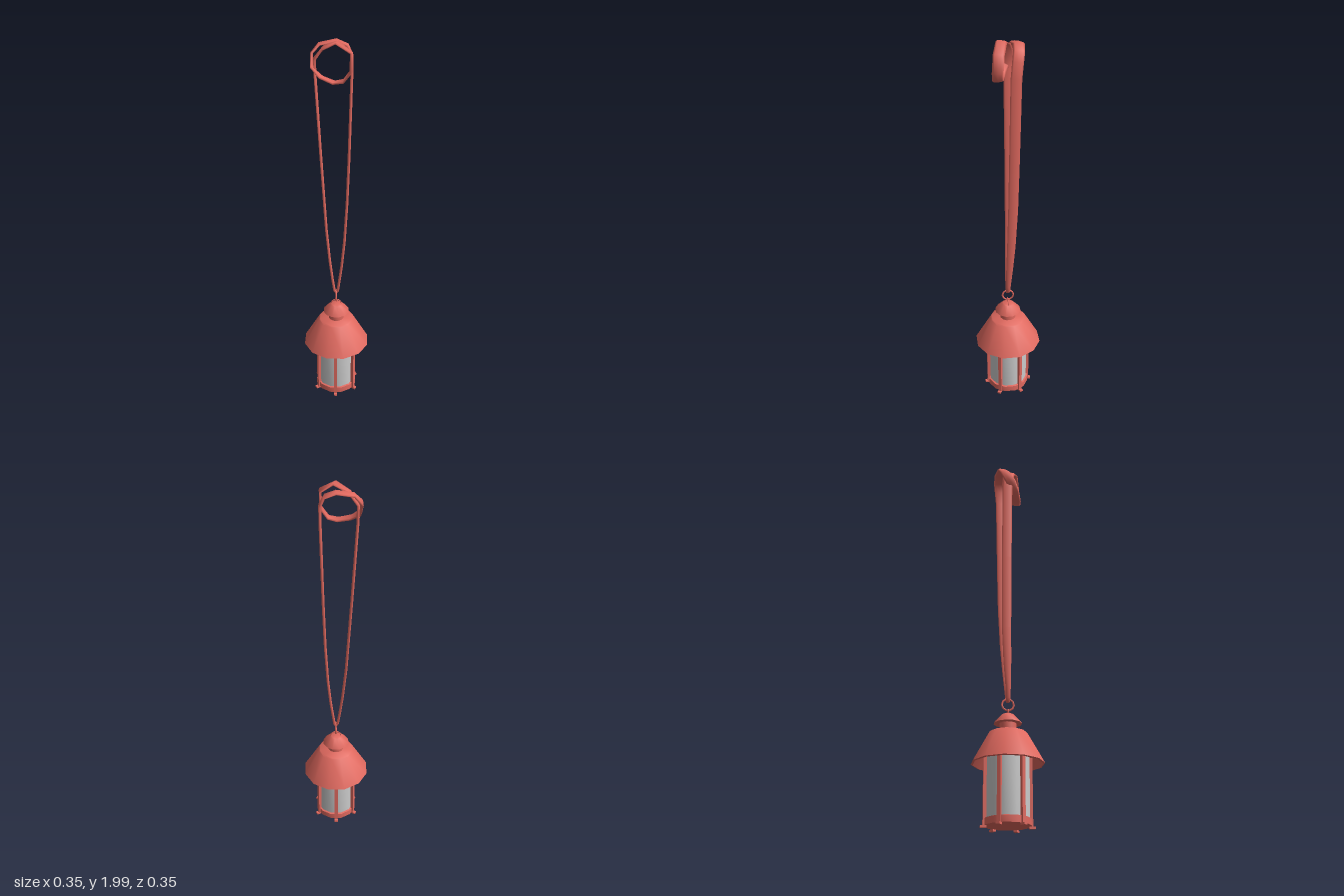
import * as THREE from 'three';
import { toCreasedNormals } from 'three/addons/utils/BufferGeometryUtils.js';

const red = new THREE.MeshStandardMaterial({ color: 0xe0695f });
const grey = new THREE.MeshStandardMaterial({ color: 0xcccccc });

function add(parent, name, geometry, material = red) {
  const mesh = new THREE.Mesh(geometry, material);
  mesh.name = name;
  parent.add(mesh);
  return mesh;
}

// Twelve-sided turned part; profile is [radius, y] pairs
function turned(profile) {
  const points = profile.map(([r, y]) => new THREE.Vector2(r, y));
  return toCreasedNormals(new THREE.LatheGeometry(points, 12, Math.PI / 12), 0.7);
}

// Closed strap with an oval cross-section; stations are [x, y, z, halfWidth]
function strapGeometry(stations, halfThickness, sides) {
  const n = stations.length;
  const centres = stations.map(([x, y, z]) => new THREE.Vector3(x, y, z));
  const positions = [];
  const indices = [];
  for (let i = 0; i < n; i++) {
    const tangent = centres[(i + 1) % n].clone().sub(centres[(i + n - 1) % n]).normalize();
    const across = new THREE.Vector3(0, 0, 1).addScaledVector(tangent, -tangent.z).normalize();
    const normal = tangent.clone().cross(across);
    for (let j = 0; j < sides; j++) {
      const a = (j / sides) * Math.PI * 2;
      const p = centres[i].clone()
        .addScaledVector(across, Math.cos(a) * stations[i][3])
        .addScaledVector(normal, Math.sin(a) * halfThickness);
      positions.push(p.x, p.y, p.z);
      const k = (j + 1) % sides;
      const next = (i + 1) % n;
      const [a0, b0, a1, b1] = [i * sides + j, i * sides + k, next * sides + j, next * sides + k];
      indices.push(a0, b0, a1, b0, b1, a1);
    }
  }
  const geometry = new THREE.BufferGeometry();
  geometry.setAttribute('position', new THREE.Float32BufferAttribute(positions, 3));
  geometry.setIndex(indices);
  geometry.computeVertexNormals();
  return geometry;
}

export function createModel() {
  const model = new THREE.Group();
  model.name = 'hangingLantern';

  // Lantern body
  add(model, 'base', turned([[0, 0.01], [0.113, 0.01], [0.113, 0.042], [0.1, 0.046], [0, 0.046]]));
  add(model, 'glass', turned([[0.104, 0.044], [0.104, 0.42], [0, 0.42]]), grey);

  // Six upright bars, each with a small foot
  for (let i = 0; i < 6; i++) {
    const post = new THREE.Group();
    post.name = 'post';
    post.rotation.y = (i * Math.PI) / 3;
    add(post, 'bar', new THREE.BoxGeometry(0.018, 0.33, 0.016)).position.set(0, 0.17, 0.11);
    add(post, 'foot', new THREE.BoxGeometry(0.018, 0.01, 0.03)).position.set(0, 0.005, 0.115);
    model.add(post);
  }

  // Hollow roof, chimney and chimney cap
  add(model, 'roof', turned([
    [0, 0.435], [0.09, 0.435], [0.17, 0.3], [0.179, 0.303], [0.096, 0.452], [0.09, 0.457], [0, 0.46],
  ]));
  add(model, 'chimney', turned([[0.042, 0.45], [0.042, 0.51]]));
  add(model, 'chimneyCap', turned([[0, 0.502], [0.07, 0.502], [0.068, 0.508], [0.032, 0.546], [0.026, 0.55], [0, 0.55]]));

  // Thin handle and the ring it holds
  const handle = add(model, 'handle', new THREE.TorusGeometry(0.027, 0.003, 6, 6, Math.PI));
  handle.position.y = 0.548;
  const ring = add(model, 'ring', new THREE.TorusGeometry(0.03, 0.005, 6, 10));
  ring.rotation.y = Math.PI / 2;
  ring.position.y = 0.6;

  // Strap: up the left, one turn around the top, down the right
  const w = 0.027;
  add(model, 'strap', strapGeometry([
    [0, 0.615, 0, 0.01], [-0.01, 0.635, 0, 0.012], [-0.02, 0.7, -0.002, 0.014],
    [-0.035, 0.82, -0.008, 0.02], [-0.052, 1.0, -0.015, 0.024], [-0.076, 1.4, -0.018, 0.026],
    [-0.1, 1.83, -0.018, w], [-0.1, 1.9, -0.013, w], [-0.06, 1.955, 0.005, w],
    [0.005, 1.987, 0.03, w], [0.07, 1.945, 0.05, w], [0.068, 1.86, 0.055, w],
    [0.035, 1.815, 0.05, w], [-0.01, 1.806, 0.045, w], [-0.07, 1.825, 0.025, w],
    [-0.112, 1.86, 0, w], [-0.115, 1.92, -0.033, w], [-0.08, 1.96, -0.043, w],
    [0, 1.975, -0.05, w], [0.05, 1.955, -0.045, w], [0.072, 1.91, -0.037, w],
    [0.072, 1.83, -0.03, w], [0.062, 1.4, -0.024, 0.026], [0.054, 1.15, -0.02, 0.025],
    [0.042, 0.93, -0.013, 0.022], [0.028, 0.78, -0.006, 0.018], [0.012, 0.66, -0.001, 0.013],
    [0.008, 0.63, 0, 0.011],
  ], 0.007, 8));

  return model;
}
